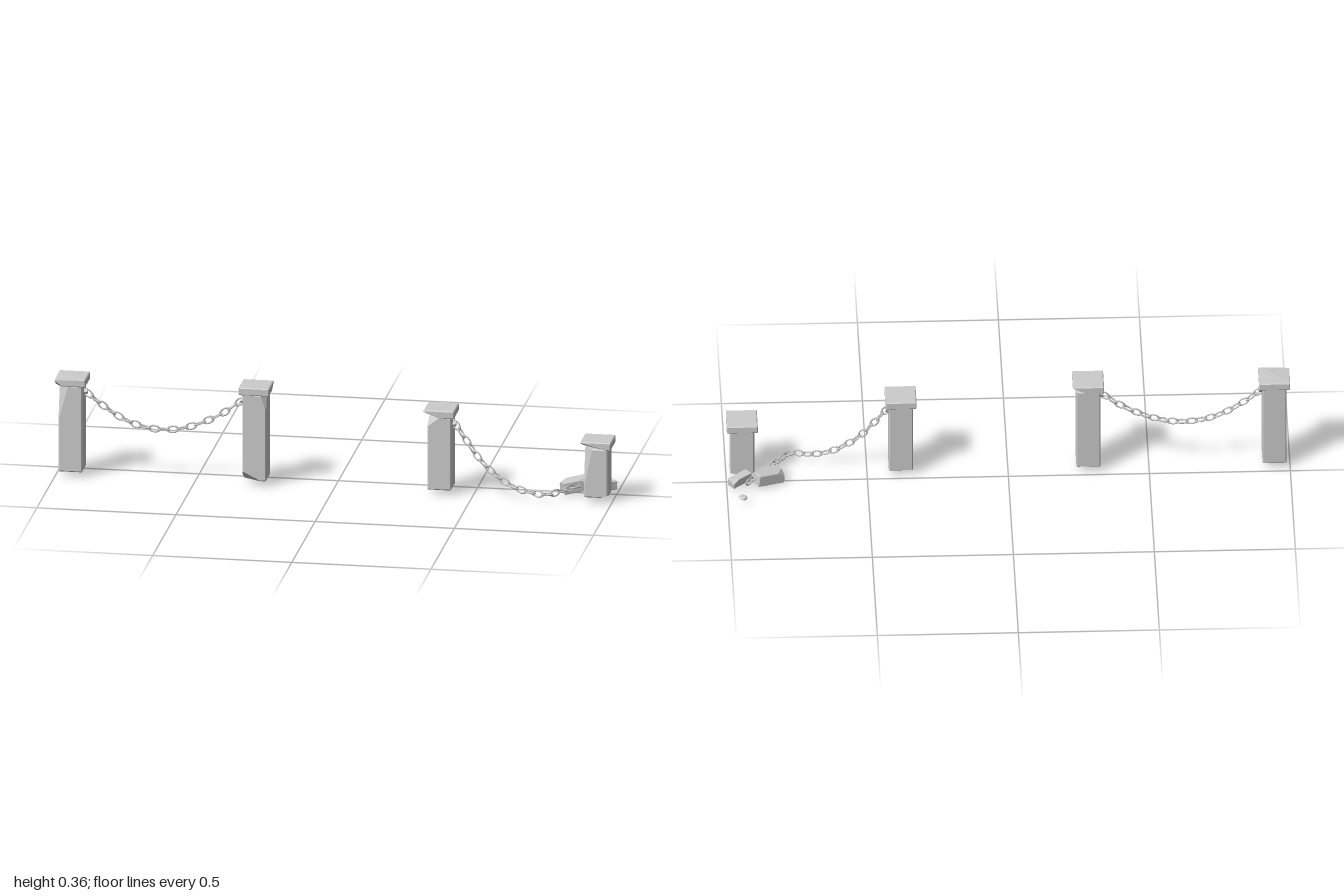
import * as THREE from 'three';
import { ConvexGeometry } from 'three/addons/geometries/ConvexGeometry.js';

const stone = new THREE.MeshStandardMaterial({ color: 0xcccccc, flatShading: true });
const iron = new THREE.MeshStandardMaterial({ color: 0xcccccc });

// Box with bevelled edges and chipped corners. Each chip is [x, y, z]:
// the signs choose the corner, the sizes say how far it is cut along each edge.
function stoneGeometry(size, bevel, chips = []) {
  const half = size.map((v) => v / 2);
  const planes = [];
  const addPlane = (n, d) => {
    const len = Math.hypot(...n);
    planes.push({ n: new THREE.Vector3(...n).divideScalar(len), d: d / len });
  };
  for (let a = 0; a < 3; a++) {
    for (const s of [-1, 1]) {
      const n = [0, 0, 0];
      n[a] = s;
      addPlane(n, half[a]);
      for (const t of [-1, 1]) {
        const b = (a + 1) % 3, e = [0, 0, 0];
        e[a] = s;
        e[b] = t;
        addPlane(e, half[a] + half[b] - bevel);
      }
    }
  }
  for (const c of chips) {
    addPlane(c.map((v) => 1 / v), half.reduce((sum, h, i) => sum + h / Math.abs(c[i]), -1));
  }
  // The corners are where three planes meet inside all the others
  const points = [];
  const m = new THREE.Matrix3();
  for (let i = 0; i < planes.length; i++)
    for (let j = i + 1; j < planes.length; j++)
      for (let k = j + 1; k < planes.length; k++) {
        const [p, q, r] = [planes[i], planes[j], planes[k]];
        m.set(...p.n.toArray(), ...q.n.toArray(), ...r.n.toArray());
        if (Math.abs(m.determinant()) < 1e-5) continue;
        const v = new THREE.Vector3(p.d, q.d, r.d).applyMatrix3(m.invert());
        if (planes.some((f) => f.n.dot(v) > f.d + 1e-7)) continue;
        if (!points.some((o) => o.distanceTo(v) < 1e-5)) points.push(v);
      }
  return new ConvexGeometry(points);
}

function addMesh(parent, name, geometry, material, position, rotation = [0, 0, 0]) {
  const mesh = new THREE.Mesh(geometry, material);
  mesh.name = name;
  mesh.position.set(...position);
  mesh.rotation.set(...rotation);
  parent.add(mesh);
  return mesh;
}

// Square post with an overhanging cap
function addPost(parent, { name, x, top, shaftChips, capChips }) {
  const post = new THREE.Group();
  post.name = name;
  post.position.set(x, 0, 0.066);
  const base = 0.02, capHeight = 0.028;
  const height = top - capHeight - base;
  addMesh(post, 'shaft', stoneGeometry([0.086, height, 0.086], 0.004, shaftChips), stone, [0, base + height / 2, 0]);
  addMesh(post, 'cap', stoneGeometry([0.11, capHeight, 0.11], 0.003, capChips), stone, [0, top - capHeight / 2, 0]);
  parent.add(post);
}

// Oval links, each turned a quarter from the last, along a smooth path
const linkGeometry = new THREE.TorusGeometry(0.0115, 0.003, 6, 14).scale(1.65, 1, 1);
function addChain(parent, name, path) {
  const chain = new THREE.Group();
  chain.name = name;
  const curve = new THREE.CatmullRomCurve3(path.map((p) => new THREE.Vector3(...p)));
  const count = Math.round(curve.getLength() / 0.034);
  const up = new THREE.Vector3(0, 1, 0);
  for (let i = 0; i < count; i++) {
    const u = (i + 0.5) / count;
    const along = curve.getTangentAt(u);
    const side = along.clone().cross(up).normalize();
    const link = addMesh(chain, 'chainLink', linkGeometry, iron, curve.getPointAt(u).toArray());
    link.quaternion.setFromRotationMatrix(new THREE.Matrix4().makeBasis(along, side.clone().cross(along), side));
    link.rotateX((i % 2) * Math.PI / 2);
  }
  parent.add(chain);
}

export function createModel() {
  const model = new THREE.Group();
  model.name = 'chainFence';

  // Four posts, each worn differently
  const posts = [
    { name: 'tallPostRight', x: -0.945, top: 0.367,
      shaftChips: [[-0.035, 0.13, 0.03]], capChips: [[-0.1, 0.006, 0.1], [-0.03, -0.02, 0.03]] },
    { name: 'tallPostLeft', x: -0.285, top: 0.367,
      shaftChips: [[-0.07, -0.035, 0.04], [0.02, 0.06, 0.02]], capChips: [[0.05, -0.024, -0.05]] },
    { name: 'mediumPost', x: 0.38, top: 0.317,
      shaftChips: [[-0.045, 0.035, 0.06]], capChips: [[-0.06, -0.024, 0.06]] },
    { name: 'brokenPost', x: 0.943, top: 0.228,
      shaftChips: [[-0.03, 0.15, 0.03], [0.03, -0.01, 0.04]], capChips: [[-0.1, -0.025, 0.06]] },
  ];
  posts.forEach((p) => addPost(model, p));

  // Six-sided iron pegs holding the chains
  const peg = new THREE.CylinderGeometry(0.011, 0.011, 0.02, 6).rotateZ(Math.PI / 2);
  for (const p of [[-0.9, 0.31, 0.066], [-0.33, 0.305, 0.066], [0.424, 0.257, 0.066]]) {
    addMesh(model, 'chainPeg', peg, stone, p);
  }

  // Chain hanging between the tall posts
  addChain(model, 'hangingChain', [
    [-0.902, 0.312, 0.063], [-0.84, 0.263, 0.063], [-0.77, 0.218, 0.063], [-0.7, 0.191, 0.063],
    [-0.62, 0.181, 0.063], [-0.55, 0.19, 0.063], [-0.48, 0.214, 0.063], [-0.41, 0.25, 0.063], [-0.33, 0.308, 0.063],
  ]);

  // Fallen chain that drops from the medium post and trails over the ground
  addChain(model, 'fallenChain', [
    [0.424, 0.265, 0.063], [0.475, 0.195, 0.073], [0.525, 0.132, 0.084], [0.58, 0.085, 0.095],
    [0.64, 0.05, 0.108], [0.7, 0.035, 0.12], [0.765, 0.032, 0.134], [0.805, 0.032, 0.1],
    [0.845, 0.034, 0.045], [0.88, 0.036, 0], [0.93, 0.036, -0.062],
  ]);

  // Rubble knocked off the broken post
  addMesh(model, 'largeRubble', stoneGeometry([0.105, 0.044, 0.058], 0.003, [[0.05, 0.02, 0.03], [-0.03, 0.02, -0.03]]),
    stone, [0.852, 0.031, -0.008], [0, 0.46, 0.12]);
  addMesh(model, 'smallRubble', stoneGeometry([0.085, 0.033, 0.034], 0.003, [[0.03, 0.015, -0.02]]),
    stone, [0.953, 0.029, -0.022], [0, 0.65, -0.06]);
  const pebble = new THREE.IcosahedronGeometry(1, 0).scale(0.016, 0.007, 0.019);
  addMesh(model, 'pebble', pebble, stone, [0.945, 0.023, -0.131], [0, 0.4, 0]);

  return model;
}
